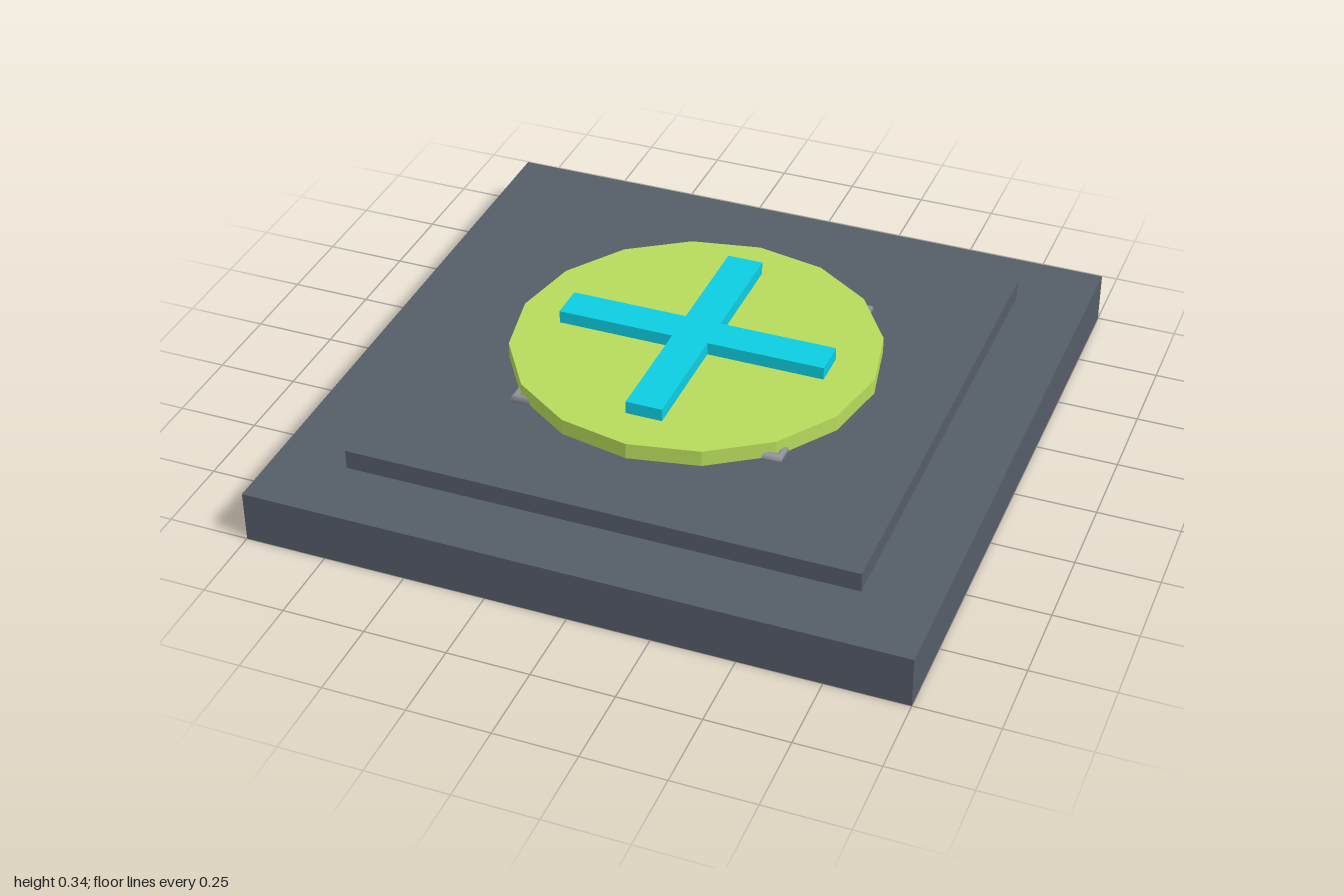
import * as THREE from 'three';

export function createModel() {
  const group = new THREE.Group();

  const add = (name, geometry, color, y, flatShading = true) => {
    const material = new THREE.MeshStandardMaterial({ color, flatShading });
    const mesh = new THREE.Mesh(geometry, material);
    mesh.name = name;
    mesh.position.y = y;
    group.add(mesh);
    return mesh;
  };

  // Stepped square base
  const slate = 0x555d68;
  add('basePlate', new THREE.BoxGeometry(2, 0.16, 2), slate, 0.08);
  add('upperStep', new THREE.BoxGeometry(1.56, 0.06, 1.56), slate, 0.19);

  // Thin four-sided rim whose corners peek out around the disc
  const rim = new THREE.TorusGeometry(0.58, 0.015, 8, 4);
  rim.rotateZ(Math.PI / 4).rotateX(-Math.PI / 2);
  add('squareRim', rim, 0x8f9399, 0.255, false);

  // Sixteen-sided pad, hovering just above the step
  add('disc', new THREE.CylinderGeometry(0.56, 0.56, 0.05, 16), 0xb7db5c, 0.275);

  // Raised cross on the pad: one arm outline repeated at quarter turns
  const a = 0.42, w = 0.056;
  const points = [];
  for (let i = 0; i < 4; i++) {
    for (const [x, y] of [[a, -w], [a, w], [w, w]]) {
      points.push(new THREE.Vector2(x, y).rotateAround(new THREE.Vector2(), i * Math.PI / 2));
    }
  }
  const cross = new THREE.ExtrudeGeometry(new THREE.Shape(points), { depth: 0.04, bevelEnabled: false });
  cross.rotateX(-Math.PI / 2);
  add('cross', cross, 0x0ecde2, 0.3);

  return group;
}
